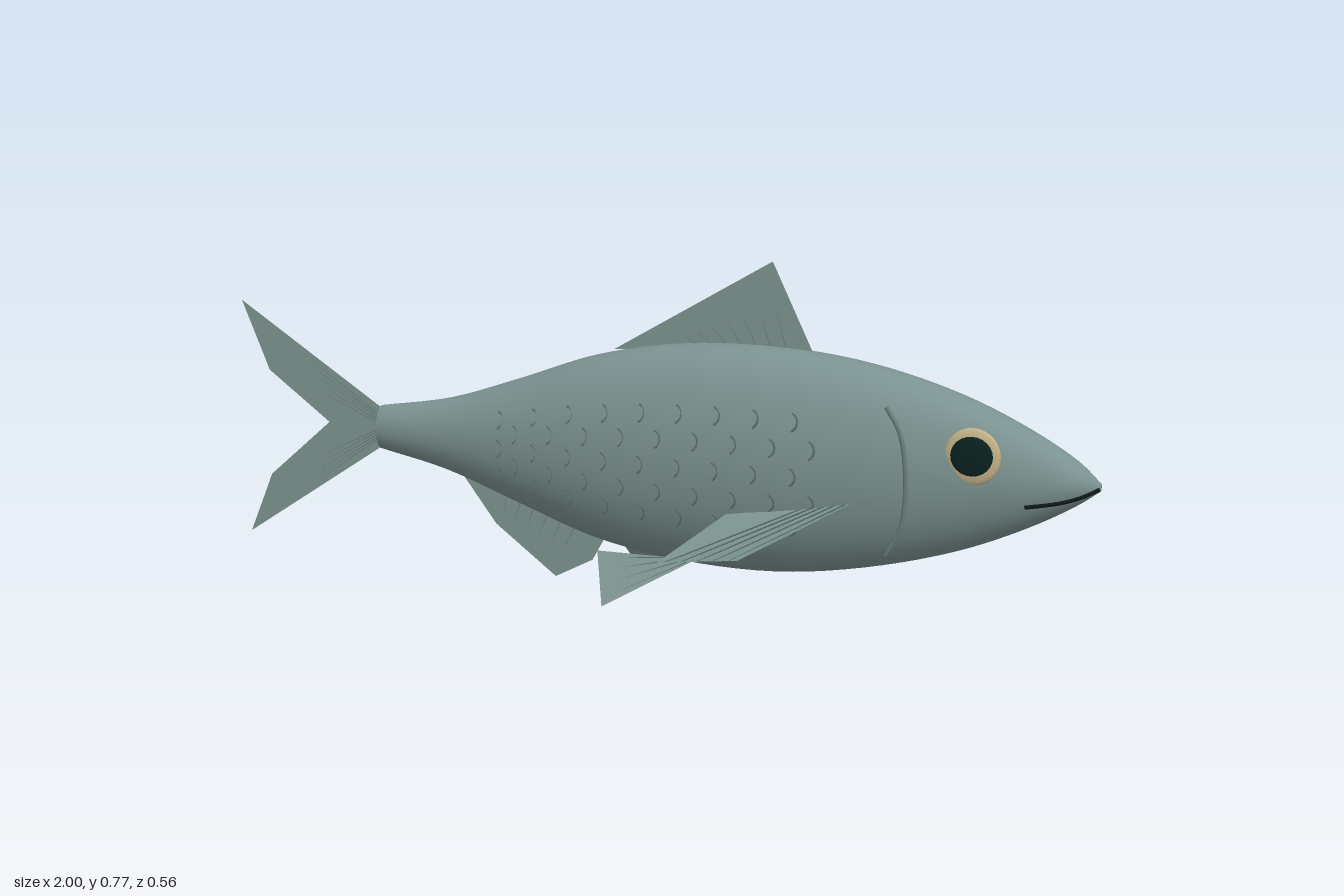
import * as THREE from 'three';
import { mergeGeometries } from 'three/addons/utils/BufferGeometryUtils.js';

const V = (x, y, z = 0) => new THREE.Vector3(x, y, z);

// Body stations: x, top, bottom, half width
const STATIONS = [
  [-0.65, 0.385, 0.283, 0.037], [-0.48, 0.415, 0.245, 0.06], [-0.3, 0.475, 0.18, 0.09],
  [-0.12, 0.54, 0.117, 0.115], [0.08, 0.578, 0.083, 0.129], [0.3, 0.583, 0.077, 0.132],
  [0.5, 0.56, 0.105, 0.119], [0.7, 0.505, 0.16, 0.096], [0.85, 0.438, 0.225, 0.073],
  [0.95, 0.378, 0.282, 0.043], [1.0, 0.334, 0.318, 0.008],
];
const topCurve = new THREE.CatmullRomCurve3(STATIONS.map((s) => V(s[0], s[1], s[3])));
const lowCurve = new THREE.CatmullRomCurve3(STATIONS.map((s) => V(s[0], s[2], s[3])));

// Elliptical section of the body at spline parameter t
function section(t) {
  const a = topCurve.getPoint(t), b = lowCurve.getPoint(t);
  return { x: a.x, cy: (a.y + b.y) / 2, ry: (a.y - b.y) / 2, rz: a.z };
}

// Spline parameter at a given x
function paramAt(x) {
  let lo = 0, hi = 1;
  for (let i = 0; i < 24; i++) {
    const m = (lo + hi) / 2;
    if (topCurve.getPoint(m).x < x) lo = m; else hi = m;
  }
  return lo;
}

function bodyGeometry() {
  const nx = 50, na = 36, pos = [], idx = [];
  for (let i = 0; i <= nx; i++) {
    const s = section(i / nx);
    for (let j = 0; j < na; j++) {
      const a = (j / na) * Math.PI * 2;
      pos.push(s.x, s.cy + s.ry * Math.sin(a), s.rz * Math.cos(a));
    }
  }
  for (let i = 0; i < nx; i++) {
    for (let j = 0; j < na; j++) {
      const a = i * na + j, b = i * na + ((j + 1) % na);
      idx.push(a, a + na, b, b, a + na, b + na);
    }
  }
  // Close the nose
  const nose = pos.length / 3;
  pos.push(1.0, 0.326, 0);
  for (let j = 0; j < na; j++) idx.push(nx * na + j, nose, nx * na + ((j + 1) % na));
  const g = new THREE.BufferGeometry();
  g.setAttribute('position', new THREE.Float32BufferAttribute(pos, 3));
  g.setIndex(idx);
  g.computeVertexNormals();
  return g;
}

export function createModel() {
  const mat = (name, color, side = THREE.FrontSide) => {
    const m = new THREE.MeshStandardMaterial({ color, side });
    m.name = name;
    return m;
  };
  const skin = mat('greyGreenSkin', 0x7b9290);
  const finSkin = mat('finSkin', 0x7d9490, THREE.DoubleSide);
  const rayMat = mat('finRay', 0x586d6a);
  const scaleMat = mat('scaleEdge', 0x617673);
  const gillMat = mat('gillEdge', 0x6c827f);
  const iris = mat('paleIris', 0xc8b68c);
  const pupilMat = mat('pupilDark', 0x0a2321);
  const mouthMat = mat('mouthDark', 0x0c1817);

  const fish = new THREE.Group();
  fish.name = 'fish';
  const add = (name, geo, material, parent = fish) => {
    const m = new THREE.Mesh(geo, material);
    m.name = name;
    parent.add(m);
    return m;
  };

  // Thin rod between two points
  const rod = (p, q, r) => {
    const d = q.clone().sub(p);
    const g = new THREE.CylinderGeometry(r * 0.6, r, d.length(), 5);
    g.applyQuaternion(new THREE.Quaternion().setFromUnitVectors(V(0, 1, 0), d.clone().normalize()));
    const c = p.clone().add(q).multiplyScalar(0.5);
    return g.translate(c.x, c.y, c.z);
  };

  // Flat fin: a fan of triangles from the first corner, with rays from base to rim
  const fin = (name, corners, rays) => {
    const g = new THREE.Group();
    g.name = name;
    fish.add(g);
    const pos = [];
    for (let i = 1; i < corners.length - 1; i++) {
      for (const p of [corners[0], corners[i], corners[i + 1]]) pos.push(p.x, p.y, p.z);
    }
    const web = new THREE.BufferGeometry();
    web.setAttribute('position', new THREE.Float32BufferAttribute(pos, 3));
    web.computeVertexNormals();
    add(name + 'Web', web, finSkin, g);
    const rods = [];
    for (const [b0, b1, r0, r1, n] of rays) {
      for (let i = 0; i < n; i++) {
        const t = (i + 0.5) / n;
        rods.push(rod(b0.clone().lerp(b1, t), r0.clone().lerp(r1, t), 0.002).translate(0, 0, -0.0015));
      }
    }
    add(name + 'Rays', mergeGeometries(rods), rayMat, g);
  };

  // Body and the flat stump at the tail
  add('body', bodyGeometry(), skin);
  const end = section(0);
  const cap = new THREE.CircleGeometry(1, 36).scale(end.rz, end.ry, 1).rotateY(-Math.PI / 2);
  add('tailStump', cap.translate(end.x, end.cy, 0), skin);

  // Forked tail
  const root = V(-0.65, 0.335), fork = V(-0.785, 0.335);
  const upTip = V(-1, 0.613), upNotch = V(-0.935, 0.45);
  const lowTip = V(-1, 0.052), lowNotch = V(-0.94, 0.197);
  fin('tailFin', [fork, lowNotch, lowTip, V(-0.64, 0.295), V(-0.64, 0.372), upTip, upNotch], [
    [V(-0.65, 0.36), root, upTip, upNotch, 5],
    [root, V(-0.65, 0.31), lowNotch, lowTip, 5],
  ]);

  // Dorsal and anal fins
  const dTip = V(0.28, 0.77), dBack = V(-0.08, 0.555), dFront = V(0.375, 0.57);
  fin('dorsalFin', [dBack, dFront, dTip], [[V(0.33, 0.575), V(0.1, 0.575), dTip, dBack.clone().lerp(dTip, 0.25), 7]]);
  const aBack = V(-0.45, 0.235), aMid = V(-0.37, 0.125), aTip = V(-0.225, 0.012), aFront = V(-0.1, 0.125);
  fin('analFin', [aFront, aBack, aMid, aTip, V(-0.135, 0.06)], [[V(-0.36, 0.2), V(-0.16, 0.13), aMid, aTip, 6]]);

  const scales = [];
  for (const s of [1, -1]) {
    const side = s > 0 ? 'left' : 'right';

    // Pectoral and pelvic fins
    const pA = V(0.49, 0.278, 0.115 * s), pB = V(0.285, 0.18, 0.281 * s);
    const pC = V(0.085, 0.136, 0.21 * s), pD = V(0.215, 0.233, 0.126 * s);
    fin(side + 'PectoralFin', [pA, pB, pC, pD], [[pA, pA.clone().lerp(pD, 0.4), pB, pC, 5]]);
    const vA = V(0.13, 0.105, 0.068 * s), vB = V(-0.065, 0, 0.143 * s), vC = V(-0.1, 0.105, 0.068 * s);
    fin(side + 'PelvicFin', [vA, vB, vC], [[vA, vA.clone().lerp(vC, 0.2), vB, vC, 4]]);

    // Eye
    const eye = new THREE.Group();
    eye.name = side + 'Eye';
    eye.position.set(0.74, 0.394, 0.087 * s);
    fish.add(eye);
    add(side + 'Iris', new THREE.SphereGeometry(1, 24, 16).scale(0.06, 0.062, 0.011), iris, eye);
    const pupil = add(side + 'Pupil', new THREE.SphereGeometry(1, 20, 12).scale(0.045, 0.043, 0.006), pupilMat, eye);
    pupil.position.set(0, 0.003, 0.0115 * s);

    // Gill edge
    const gill = new THREE.CatmullRomCurve3([
      V(0.56, 0.495, 0.117 * s), V(0.59, 0.44, 0.115 * s), V(0.604, 0.33, 0.111 * s),
      V(0.595, 0.23, 0.106 * s), V(0.563, 0.165, 0.101 * s),
    ]);
    add(side + 'GillEdge', new THREE.TubeGeometry(gill, 24, 0.005, 6), gillMat);

    // Mouth line
    const mouth = new THREE.CatmullRomCurve3([
      V(0.997, 0.324, 0.012 * s), V(0.965, 0.311, 0.036 * s), V(0.92, 0.299, 0.055 * s), V(0.85, 0.288, 0.07 * s),
    ]);
    add(side + 'Mouth', new THREE.TubeGeometry(mouth, 14, 0.0045, 6), mouthMat);

    // Rows of small crescent scales, half sunk into the flank
    for (let r = 0; r < 5; r++) {
      for (let c = 0; c < 9; c++) {
        const q = section(paramAt(-0.33 + c * 0.086 + (r % 2) * 0.04));
        const a = -0.5 + r * 0.245;
        const n = V(0, Math.sin(a) / q.ry, (s * Math.cos(a)) / q.rz).normalize();
        const g = new THREE.TorusGeometry(0.022, 0.0025, 4, 7, Math.PI * 0.7);
        g.rotateZ(-Math.PI * 0.35);
        g.applyQuaternion(new THREE.Quaternion().setFromUnitVectors(V(0, 0, s), n));
        g.translate(q.x - 0.012, q.cy + q.ry * Math.sin(a), s * (q.rz * Math.cos(a) - 0.001));
        scales.push(g);
      }
    }
  }
  add('scales', mergeGeometries(scales), scaleMat);
  return fish;
}
